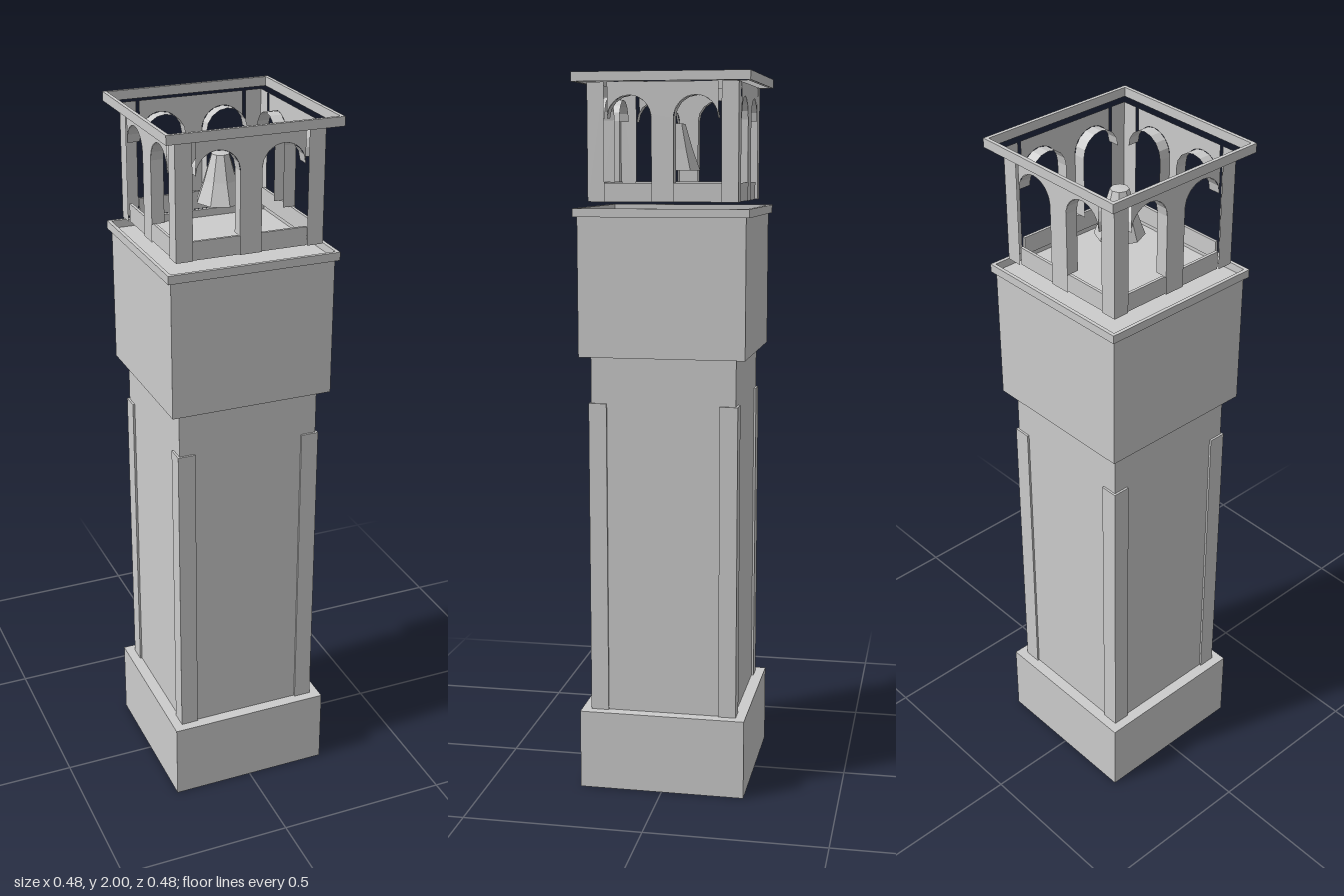
import * as THREE from 'three';

export function createModel() {
  const group = new THREE.Group();
  group.name = 'bellTower';
  const stone = new THREE.MeshStandardMaterial({ color: 0xcccccc, side: THREE.DoubleSide, flatShading: true });
  stone.name = 'stone grey';

  const add = (name, geometry, parent = group, x = 0, y = 0, z = 0) => {
    const mesh = new THREE.Mesh(geometry, stone);
    mesh.name = name;
    mesh.position.set(x, y, z);
    parent.add(mesh);
    return mesh;
  };

  // Square block from y0 to y1
  const block = (name, half, y0, y1) =>
    add(name, new THREE.BoxGeometry(half * 2, y1 - y0, half * 2), group, 0, (y0 + y1) / 2, 0);

  // Thin square frame, open in the middle
  const square = (Type, h) => new Type([[-h, -h], [h, -h], [h, h], [-h, h]].map(p => new THREE.Vector2(...p)));
  const frame = (name, outer, inner, y0, y1) => {
    const shape = square(THREE.Shape, outer);
    shape.holes.push(square(THREE.Path, inner));
    const g = new THREE.ExtrudeGeometry(shape, { depth: y1 - y0, bevelEnabled: false });
    g.rotateX(-Math.PI / 2);
    add(name, g, group, 0, y0, 0);
  };

  // Base, hollow underneath: drop the bottom face of the box
  const baseGeometry = new THREE.BoxGeometry(0.47, 0.226, 0.47);
  const index = Array.from(baseGeometry.index.array);
  index.splice(18, 6);
  baseGeometry.setIndex(index);
  baseGeometry.clearGroups();
  add('base', baseGeometry, group, 0, 0.113, 0);

  // Shaft, upper block and ledge
  block('shaft', 0.202, 0.226, 1.24);
  block('upperBlock', 0.23, 1.24, 1.622);
  frame('ledge', 0.24, 0.23, 1.62, 1.643);
  frame('topRing', 0.24, 0.23, 1.975, 2.0);

  // Corner pilasters
  for (const sx of [-1, 1]) for (const sz of [-1, 1]) {
    add('cornerPilaster', new THREE.BoxGeometry(0.05, 0.884, 0.05), group, sx * 0.183, 0.668, sz * 0.183);
  }

  // Belfry: four identical sides with twin arches
  const wall = 0.205, r = 0.06, mid = 0.09, spring = 1.88, sill = 1.71, bottom = 1.66, top = 1.975;
  for (let i = 0; i < 4; i++) {
    const side = new THREE.Group();
    side.name = 'belfrySide';
    side.rotation.y = i * Math.PI / 2;
    group.add(side);

    // Mullion and spandrels
    const s = new THREE.Shape();
    s.moveTo(-mid - r, top);
    s.lineTo(-mid - r, spring);
    s.absarc(-mid, spring, r, Math.PI, 0, true);
    s.lineTo(-mid + r, bottom);
    s.lineTo(mid - r, bottom);
    s.lineTo(mid - r, spring);
    s.absarc(mid, spring, r, Math.PI, 0, true);
    s.lineTo(mid + r, top);
    s.closePath();
    add('archPanel', new THREE.ShapeGeometry(s, 8), side, 0, 0, wall);

    // Sill
    add('sill', new THREE.BoxGeometry(0.32, sill - bottom, 0.008), side, 0, (sill + bottom) / 2, 0.196);

    for (const sx of [-1, 1]) {
      // Arch soffit and mullion jamb
      const soffit = new THREE.CylinderGeometry(r, r, 0.035, 8, 1, true, Math.PI / 2, Math.PI);
      soffit.rotateX(Math.PI / 2);
      add('archSoffit', soffit, side, sx * mid, spring, wall - 0.0175);
      const jamb = new THREE.PlaneGeometry(0.035, spring - sill);
      jamb.rotateY(sx * Math.PI / 2);
      add('jamb', jamb, side, sx * (mid - r), (spring + sill) / 2, wall - 0.0175);
      // Corner pier face
      add('cornerPier', new THREE.PlaneGeometry(0.046, top - bottom), side, sx * 0.182, (top + bottom) / 2, wall);
    }
  }

  // Bell, open below
  const profile = [[0.067, 1.742], [0.046, 1.8], [0.025, 1.87], [0, 1.872]];
  add('bell', new THREE.LatheGeometry(profile.map(p => new THREE.Vector2(...p)), 8));

  return group;
}
